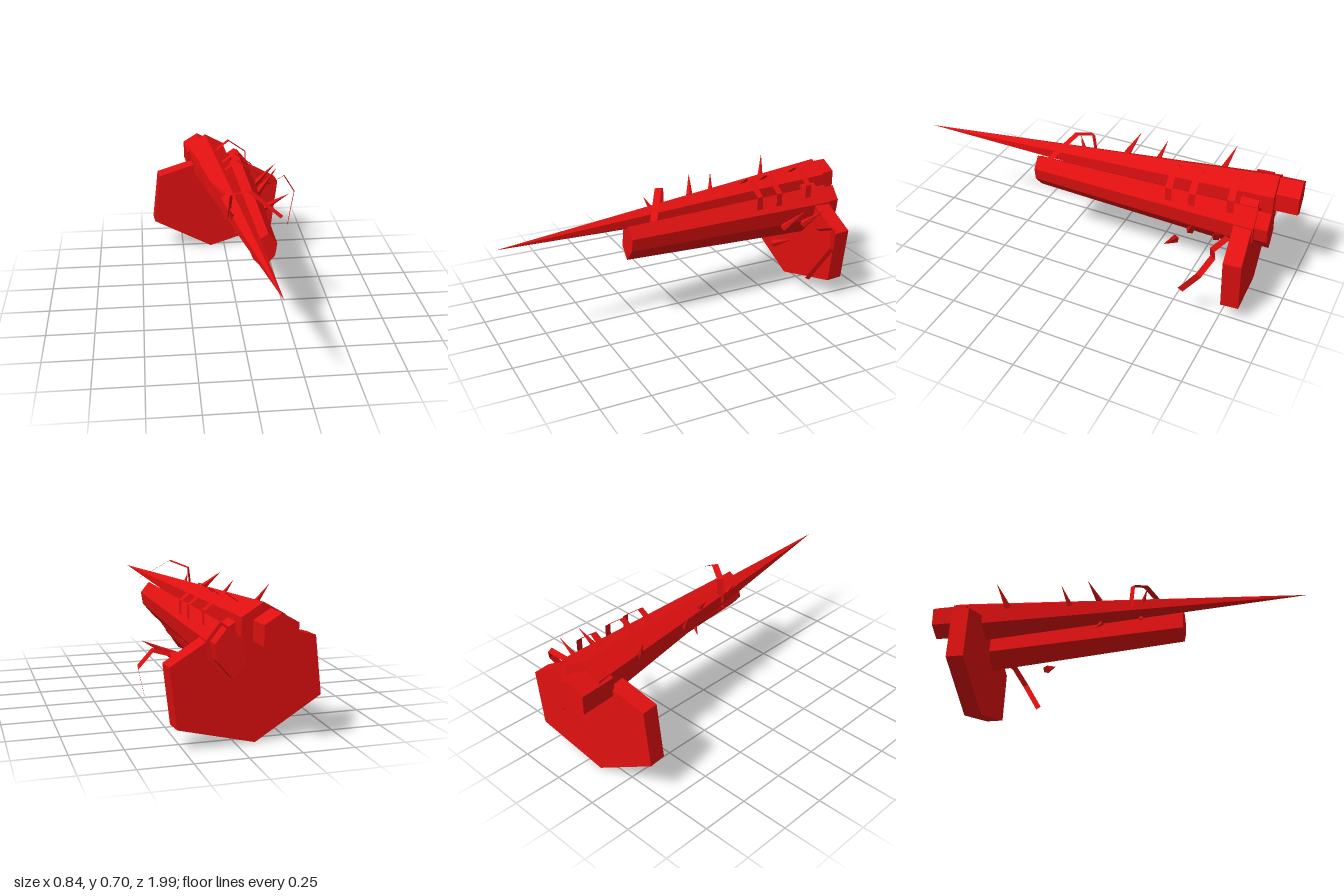
import * as THREE from 'three';
import { ConvexGeometry } from 'three/addons/geometries/ConvexGeometry.js';

const V = (x, y, z) => new THREE.Vector3(x, y, z);
const red = new THREE.MeshStandardMaterial({ color: 0xe01010, flatShading: true });
const redThin = new THREE.MeshStandardMaterial({ color: 0xe01010, flatShading: true, side: THREE.DoubleSide });

// Cross-section placed at a centre, turned slightly about y
const ring = (section, c, scale, yaw) =>
  section.map(([x, y]) => V(c[0] + x * scale, c[1] + y * scale, c[2] - x * scale * yaw));

const hex = Array.from({ length: 6 }, (_, i) => [Math.sin(i * Math.PI / 3), Math.cos(i * Math.PI / 3)]);
const tallHex = [[-0.012, -0.095], [0.048, -0.025], [0.058, 0.04], [0.013, 0.095], [-0.047, 0.055], [-0.062, -0.035]];

export function createModel() {
  const model = new THREE.Group();
  const add = (name, geometry, material = red) => {
    const mesh = new THREE.Mesh(geometry, material);
    mesh.name = name;
    model.add(mesh);
    return mesh;
  };
  const solid = (name, ...rings) => add(name, new ConvexGeometry(rings.flat()));

  // Long tapering lance and its rear cap
  solid('lance', ring(hex, [-0.098, 0.54, -0.88], 0.121, 0.1), [V(0.105, 0.557, 0.995)]);
  solid('lanceCap', ring(hex, [-0.14, 0.537, -0.99], 0.095, 0.1), ring(hex, [-0.125, 0.537, -0.8], 0.095, 0.1));

  // Second tapered body alongside, with its rear cap
  solid('sideBody', ring(tallHex, [0.067, 0.438, -0.84], 1.45, 0.05), ring(tallHex, [0.112, 0.465, 0.335], 1, 0.05));
  solid('sideBodyCap', ring(tallHex, [0.062, 0.445, -0.905], 1.2, 0.05), ring(tallHex, [0.065, 0.445, -0.8], 1.2, 0.05));

  // Broad six-sided plate across the rear
  const outline = [[-0.375, -0.1], [-0.34, 0.185], [0.04, 0.29], [0.372, 0.1], [0.337, -0.187], [-0.04, -0.29]];
  const plate = new THREE.ExtrudeGeometry(new THREE.Shape(outline.map(([x, y]) => new THREE.Vector2(x, y))),
    { depth: 0.09, bevelEnabled: false });
  plate.translate(0, 0, -0.045);
  const plateMesh = add('rearPlate', plate);
  plateMesh.rotation.y = 0.1;
  plateMesh.position.set(-0.047, 0.29, -0.772);

  // Spikes: base, tip, radius
  const spikes = [
    [[-0.15, 0.57, -0.575], [-0.22, 0.692, -0.62], 0.018],
    [[-0.105, 0.56, -0.24], [-0.165, 0.657, -0.27], 0.015],
    [[-0.055, 0.59, -0.09], [-0.143, 0.677, -0.13], 0.018],
    [[-0.025, 0.56, 0.14], [-0.055, 0.63, 0.175], 0.014],
    [[-0.02, 0.475, -0.09], [-0.065, 0.43, -0.11], 0.014],
    [[0.015, 0.5, 0.12], [-0.03, 0.465, 0.14], 0.014],
    [[0.175, 0.41, -0.54], [0.295, 0.542, -0.59], 0.022],
    [[0.165, 0.405, -0.67], [0.303, 0.528, -0.7], 0.022],
    [[0.195, 0.342, -0.47], [0.355, 0.427, -0.475], 0.022],
  ];
  for (const [b, t, r] of spikes) {
    const base = V(...b), tip = V(...t), axis = tip.clone().sub(base);
    const spike = add('spike', new THREE.ConeGeometry(r, axis.length(), 5));
    spike.position.copy(base).add(tip).multiplyScalar(0.5);
    spike.quaternion.setFromUnitVectors(V(0, 1, 0), axis.normalize());
  }

  // Flat bent strip of constant width following a few points
  const strip = (name, points, across, width = 0.034) => {
    const half = V(...across).normalize().multiplyScalar(width / 2);
    const position = [], index = [];
    points.forEach((p, i) => {
      const c = V(...p);
      position.push(...c.clone().add(half).toArray(), ...c.clone().sub(half).toArray());
      if (i) index.push(2 * i - 2, 2 * i - 1, 2 * i, 2 * i, 2 * i - 1, 2 * i + 1);
    });
    const g = new THREE.BufferGeometry();
    g.setAttribute('position', new THREE.Float32BufferAttribute(position, 3));
    g.setIndex(index);
    g.computeVertexNormals();
    add(name, g, redThin);
  };

  // Jointed feelers
  strip('frontFeeler', [[-0.045, 0.54, 0.08], [-0.032, 0.67, 0.09], [0.055, 0.704, 0.14], [0.205, 0.6, 0.235]], [-0.53, 0, 0.85]);
  strip('sideFeeler', [[0.165, 0.42, -0.73], [0.27, 0.405, -0.69], [0.362, 0.44, -0.725],
    [0.418, 0.355, -0.68], [0.365, 0.185, -0.575]], [0, 0.5, 0.85], 0.03);

  // Straps joining the two bodies
  for (const [z, dx, dy] of [[-0.39, 0, -0.01], [-0.51, -0.005, -0.01], [-0.7, -0.02, 0]]) {
    strip('strap', [[-0.03, 0.58], [-0.03, 0.625], [0.045, 0.68], [0.146, 0.605], [0.146, 0.535]]
      .map(([x, y]) => [x + dx, y + dy, z - x * 0.1]), [0.08, 0, 1]);
  }
  return model;
}
